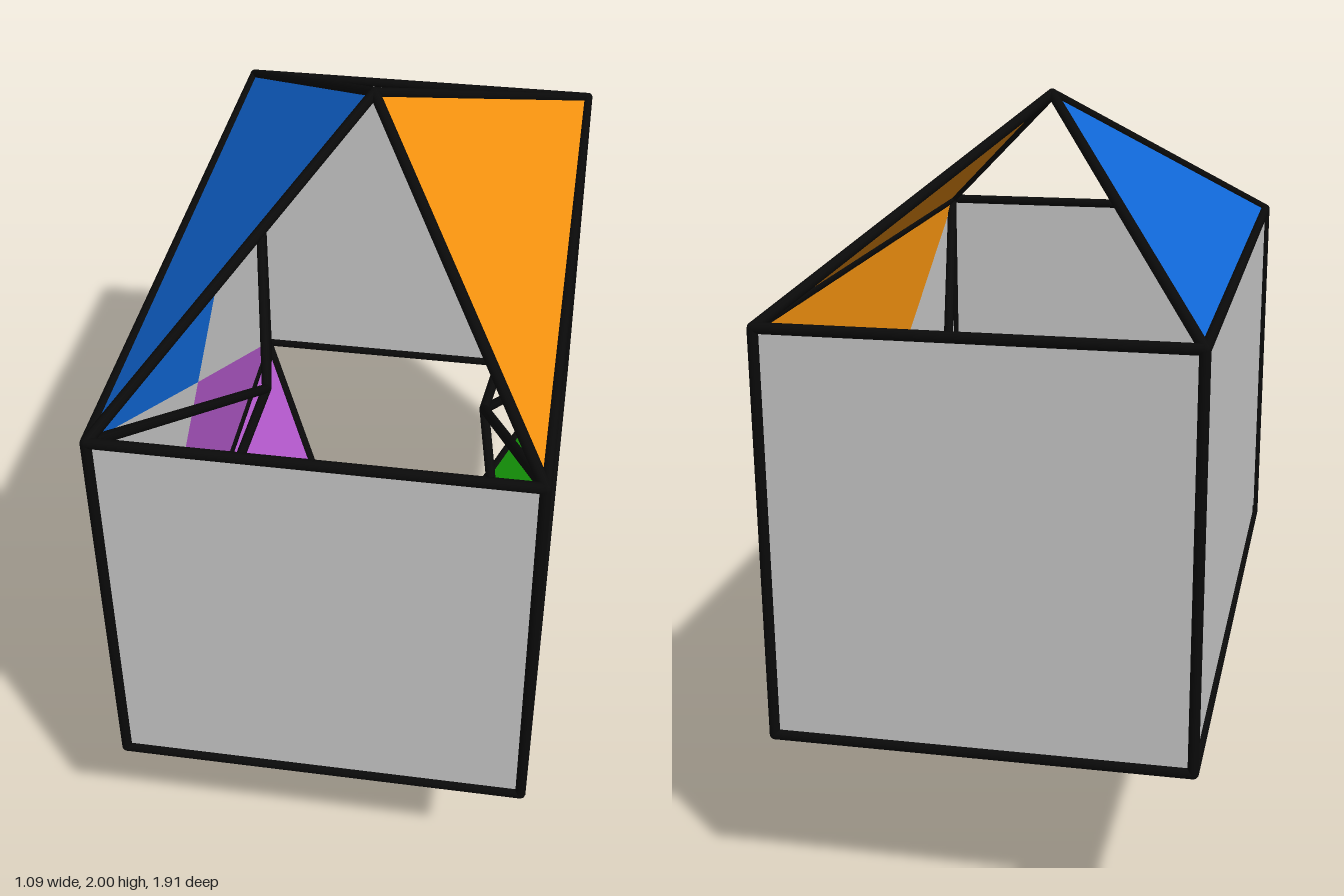
import * as THREE from 'three';

const X = 0.53, Z = 0.94, LOW = 0.475, HIGH = 1.53, MID = 1;
const BOTTOM = 0.015, TOP = 1.985;   // apex heights
const RADIUS = 0.014;                // edge rods
const INNER_X = 0.32;                // where the inner brace rods meet

const v = (x, y, z) => new THREE.Vector3(x, y, z);
const paint = (color) => new THREE.MeshStandardMaterial({ color, side: THREE.DoubleSide });

// Flat convex panel through the given corners
function panel(name, corners, material) {
  const points = [];
  for (let i = 1; i < corners.length - 1; i++) points.push(corners[0], corners[i], corners[i + 1]);
  const geometry = new THREE.BufferGeometry().setFromPoints(points);
  geometry.computeVertexNormals();
  const mesh = new THREE.Mesh(geometry, material);
  mesh.name = name;
  return mesh;
}

// Round rod from a to b
function rod(name, a, b, material) {
  const direction = b.clone().sub(a);
  const mesh = new THREE.Mesh(new THREE.CylinderGeometry(RADIUS, RADIUS, direction.length(), 10), material);
  mesh.position.copy(a).add(b).multiplyScalar(0.5);
  mesh.quaternion.setFromUnitVectors(v(0, 1, 0), direction.normalize());
  mesh.name = name;
  return mesh;
}

function joint(at, material) {
  const mesh = new THREE.Mesh(new THREE.SphereGeometry(RADIUS, 10, 8), material);
  mesh.position.copy(at);
  mesh.name = 'joint';
  return mesh;
}

export function createModel() {
  const model = new THREE.Group();
  model.name = 'openPrism';
  const grey = paint(0xcccccc);
  const black = paint(0x0a0a0a);
  const colors = {
    rightTop: paint(0x1068d8), leftTop: paint(0xf7940f),
    rightBottom: paint(0xb057c8), leftBottom: paint(0x1cb40e),
  };

  // Four walls, open above and below
  for (const s of [-1, 1]) {
    model.add(panel(s > 0 ? 'frontWall' : 'backWall',
      [v(-s * X, LOW, s * Z), v(s * X, LOW, s * Z), v(s * X, HIGH, s * Z), v(-s * X, HIGH, s * Z)], grey));
    model.add(panel(s > 0 ? 'leftWall' : 'rightWall',
      [v(s * X, LOW, s * Z), v(s * X, LOW, -s * Z), v(s * X, HIGH, -s * Z), v(s * X, HIGH, s * Z)], grey));
  }

  for (const [end, rim, apexY] of [['Top', HIGH, TOP], ['Bottom', LOW, BOTTOM]]) {
    const apex = v(0, apexY, 0);
    model.add(joint(apex, black));

    for (const s of [-1, 1]) {
      const side = (s > 0 ? 'left' : 'right') + end;
      const a = v(s * X, rim, -Z), b = v(s * X, rim, Z);

      // Sloping coloured panel, and its matching triangle on the inside of the wall
      model.add(panel(side + 'Slope', [a, b, apex], colors[side]));
      const inside = s * (X - 0.004);
      model.add(panel(side + 'InnerTriangle',
        [v(inside, rim, -Z), v(inside, rim, Z), v(inside, MID, 0)], colors[side]));

      // Rim rods, sloping rods and inner braces
      model.add(rod('sideRim', a, b, black));
      model.add(rod('endRim', v(-X, rim, s * Z), v(X, rim, s * Z), black));
      for (const corner of [a, b]) {
        model.add(rod('slopeRod', corner, apex, black));
        model.add(rod('innerBrace', corner, v(s * INNER_X, MID, 0), black));
        model.add(joint(corner, black));
      }
    }
  }

  // Upright corner rods and the joints of the inner braces
  for (const sx of [-1, 1]) {
    model.add(joint(v(sx * INNER_X, MID, 0), black));
    for (const sz of [-1, 1]) {
      model.add(rod('cornerRod', v(sx * X, LOW, sz * Z), v(sx * X, HIGH, sz * Z), black));
    }
  }
  return model;
}
